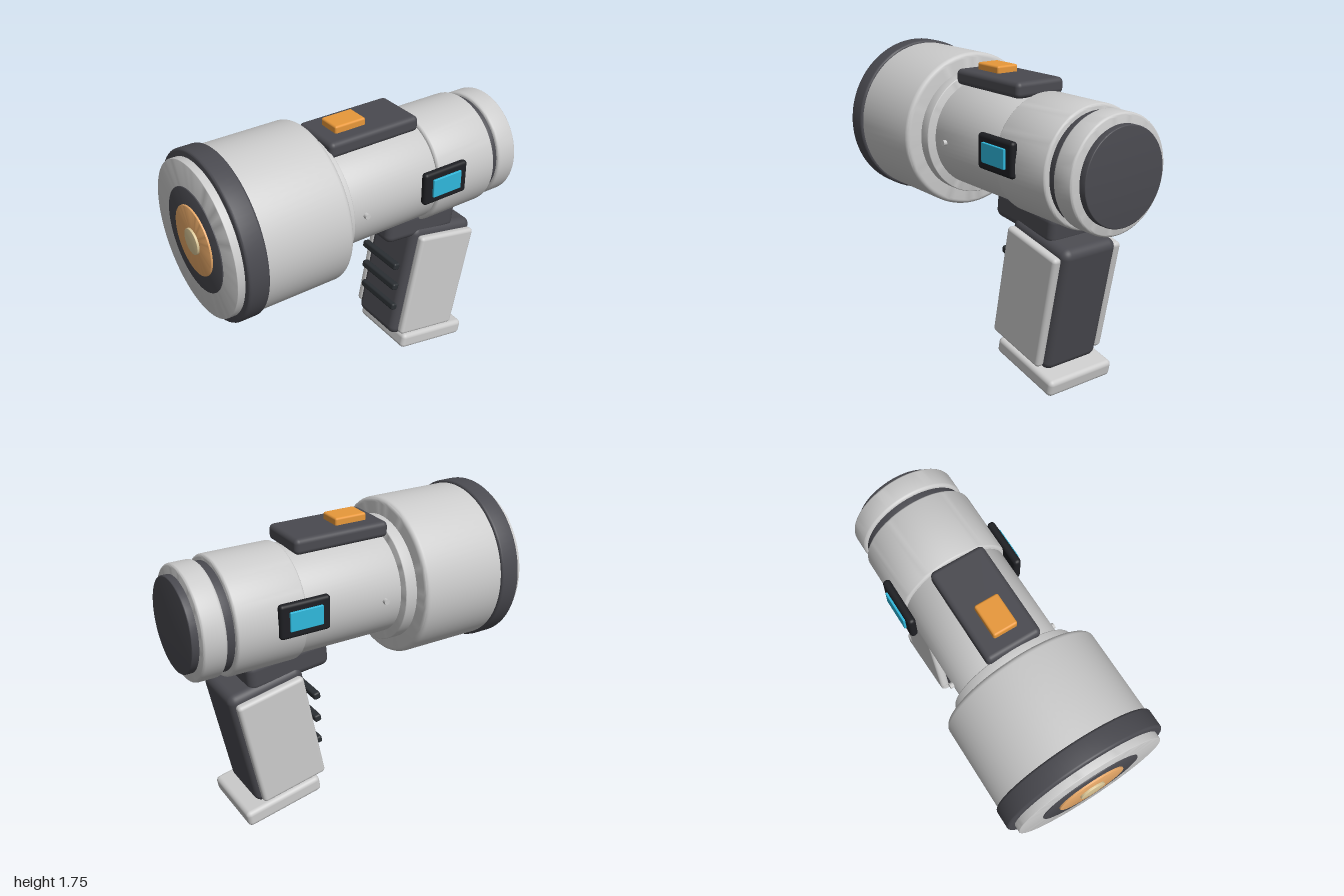
import * as THREE from 'three';
import { toCreasedNormals } from 'three/addons/utils/BufferGeometryUtils.js';
import { RoundedBoxGeometry } from 'three/addons/geometries/RoundedBoxGeometry.js';

const AXIS_Y = 1.285; // height of the barrel axis
const TILT = -0.2; // backward lean of the grip

const mat = (color) => new THREE.MeshStandardMaterial({ color });

export function createModel() {
  const model = new THREE.Group();
  const grey = mat(0xcccccc);
  const dark = mat(0x4a4a50);
  const black = mat(0x1e1f23);
  const ribDark = mat(0x2b2f33);
  const amber = mat(0xe8983a);
  const amberPale = mat(0xe8a968);
  const cream = mat(0xdcc898);
  const blue = mat(0x2fb8dc);

  const add = (name, geometry, material, x = 0, y = 0, z = 0, tilt = 0) => {
    const mesh = new THREE.Mesh(geometry, material);
    mesh.name = name;
    mesh.position.set(x, y, z);
    mesh.rotation.x = tilt;
    model.add(mesh);
    return mesh;
  };

  // Solid drum along z with rounded rims
  const drum = (name, material, r, z0, z1, bevel) => {
    const pts = [new THREE.Vector2(0, z0)];
    const steps = 5;
    for (const [cz, start] of [[z0 + bevel, -Math.PI / 2], [z1 - bevel, 0]]) {
      for (let i = 0; i <= steps; i++) {
        const a = start + (i / steps) * Math.PI / 2;
        pts.push(new THREE.Vector2(r - bevel + bevel * Math.cos(a), cz + bevel * Math.sin(a)));
      }
    }
    pts.push(new THREE.Vector2(0, z1));
    const geometry = new THREE.LatheGeometry(pts, 72).rotateX(Math.PI / 2);
    add(name, toCreasedNormals(geometry, 0.5), material, 0, AXIS_Y);
  };

  const block = (name, material, size, pos, radius, tilt = 0) =>
    add(name, new RoundedBoxGeometry(...size, 4, radius), material, ...pos, tilt);

  // Barrel, front to back
  drum('lensCentre', cream, 0.073, 0.96, 1.0, 0.003);
  drum('lensDisc', amberPale, 0.195, 0.95, 0.988, 0.004);
  drum('lensSurround', dark, 0.29, 0.94, 0.978, 0.002);
  drum('frontPlate', grey, 0.435, 0.80, 0.972, 0.005);
  drum('frontBumper', dark, 0.475, 0.81, 0.93, 0.014);
  drum('head', grey, 0.46, 0.295, 0.85, 0.028);
  drum('headCollar', grey, 0.365, 0.225, 0.32, 0.006);
  drum('body', grey, 0.313, -0.42, 0.25, 0.006);
  drum('rearBody', grey, 0.335, -0.78, -0.37, 0.018);
  drum('rearNeck', dark, 0.302, -0.86, -0.76, 0.006);
  drum('rearRing', grey, 0.32, -0.96, -0.825, 0.018);
  drum('rearCap', dark, 0.265, -1.0, -0.93, 0.006);

  // Top switch
  block('switchPlate', dark, [0.32, 0.09, 0.58], [0, 1.63, -0.055], 0.028);
  block('switchButton', amber, [0.14, 0.07, 0.195], [0, 1.68, 0.048], 0.012);

  // Side displays and pins, mirrored
  for (const s of [1, -1]) {
    const side = s > 0 ? 'left' : 'right';
    block(side + 'DisplayFrame', black, [0.045, 0.197, 0.3], [s * 0.335, 1.325, -0.398], 0.02);
    block(side + 'DisplayScreen', blue, [0.04, 0.11, 0.196], [s * 0.35, 1.327, -0.398], 0.004);
    const pin = new THREE.CylinderGeometry(0.017, 0.017, 0.05, 8).rotateZ(Math.PI / 2);
    add(side + 'Pin', pin, grey, s * 0.309, AXIS_Y, 0.12);
    block(side + 'GripPanel', grey, [0.055, 0.685, 0.413], [s * 0.21, 0.528, -0.487], 0.022, TILT);
  }

  // Handle
  block('gripMount', dark, [0.34, 0.17, 0.505], [0, 0.957, -0.403], 0.045, -0.1);
  block('grip', dark, [0.37, 0.76, 0.465], [0, 0.53, -0.485], 0.05, TILT);
  block('gripBase', grey, [0.45, 0.1, 0.49], [0, 0.102, -0.485], 0.028, TILT);

  // Finger ribs
  for (let i = 0; i < 3; i++) {
    block('fingerRib', ribDark, [0.325, 0.044, 0.044], [0, 0.708 - i * 0.15, -0.227 + i * 0.004], 0.012, TILT);
  }

  return model;
}
